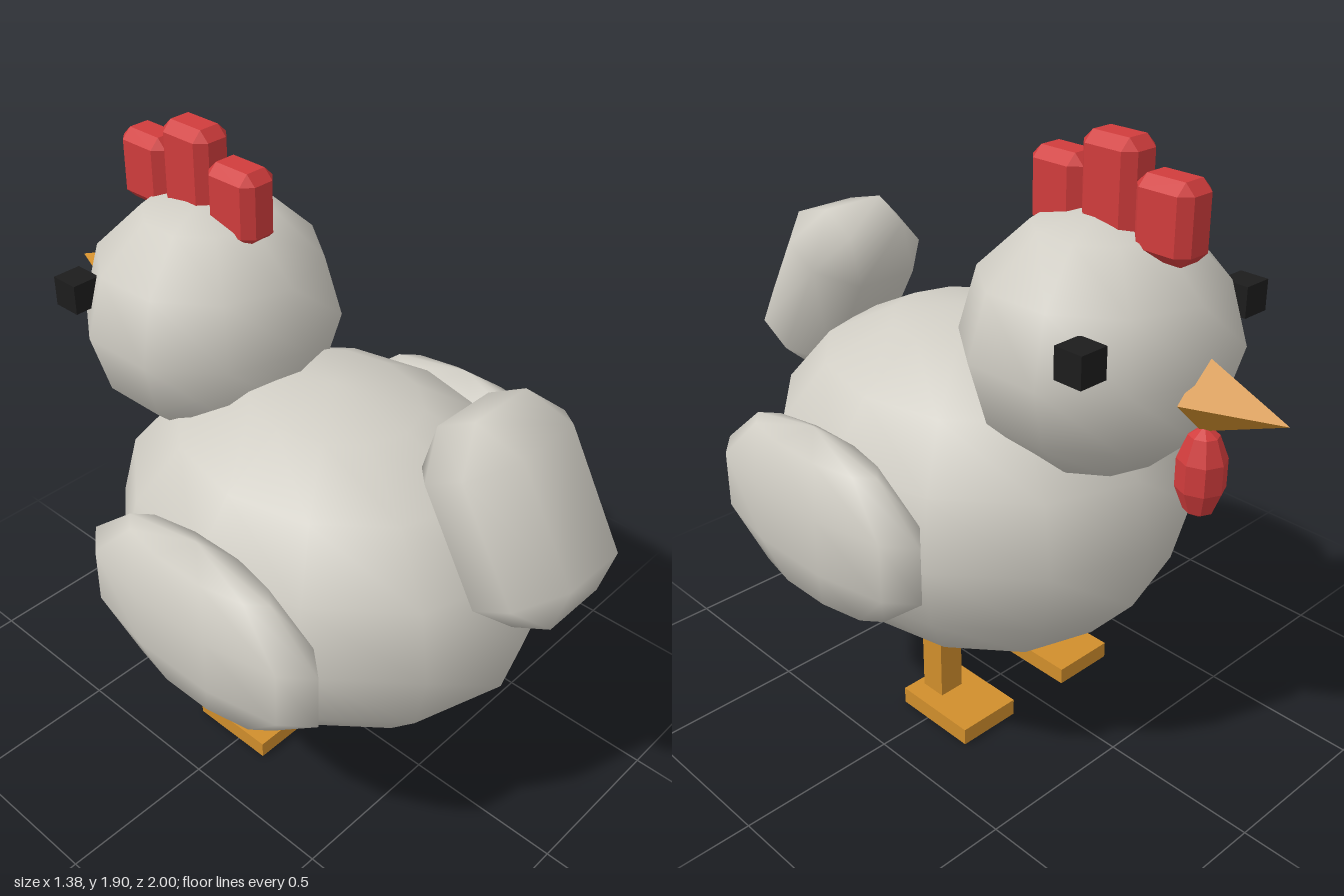
import * as THREE from 'three';
import { mergeVertices } from 'three/addons/utils/BufferGeometryUtils.js';
import { ConvexGeometry } from 'three/addons/geometries/ConvexGeometry.js';

const material = (name, color, flatShading = false) => {
  const m = new THREE.MeshStandardMaterial({ color, flatShading });
  m.name = name;
  return m;
};

// Box with cut edges and corners, given by half sizes and cut width
function chamferedBox(hx, hy, hz, cut, smooth) {
  const points = [];
  for (const x of [-1, 1]) for (const y of [-1, 1]) for (const z of [-1, 1]) {
    points.push(
      new THREE.Vector3(x * hx, y * (hy - cut), z * (hz - cut)),
      new THREE.Vector3(x * (hx - cut), y * hy, z * (hz - cut)),
      new THREE.Vector3(x * (hx - cut), y * (hy - cut), z * hz));
  }
  let g = new ConvexGeometry(points);
  if (smooth) {
    g.deleteAttribute('normal');
    g = mergeVertices(g, 1e-4);
    g.computeVertexNormals();
  }
  return g;
}

// Low-poly ellipsoid; turned so that a column of corners lies on the z axis
function ellipsoid(rx, ry, rz, around, rows) {
  return new THREE.SphereGeometry(1, around, rows).rotateY(Math.PI / 2).scale(rx, ry, rz);
}

export function createModel() {
  const model = new THREE.Group();
  model.name = 'hen';
  const feather = material('feather', 0xd0cdc4);
  const red = material('combRed', 0xd03c3c, true);
  const orange = material('beakOrange', 0xd08e2c, true);
  const black = material('eyeBlack', 0x1c1c1c, true);

  const add = (name, geometry, mat, x, y, z) => {
    const mesh = new THREE.Mesh(geometry, mat);
    mesh.name = name;
    mesh.position.set(x, y, z);
    model.add(mesh);
    return mesh;
  };

  // Body, head and tail
  add('body', ellipsoid(0.6, 0.535, 0.71, 12, 8), feather, 0, 0.755, 0.11);
  add('head', ellipsoid(0.392, 0.37, 0.385, 10, 6), feather, 0, 1.34, -0.385);
  add('tail', chamferedBox(0.215, 0.29, 0.175, 0.11, true), feather, 0, 1.188, 0.755)
    .rotation.x = -0.52;

  // Comb: three lobes along the crown
  add('combBack', chamferedBox(0.063, 0.107, 0.09, 0.03), red, 0, 1.725, -0.247);
  add('combMiddle', chamferedBox(0.063, 0.142, 0.09, 0.03), red, 0, 1.763, -0.425);
  add('combFront', chamferedBox(0.063, 0.107, 0.09, 0.03), red, 0, 1.725, -0.605);

  // Beak and wattle
  add('beak', new THREE.ConeGeometry(0.107, 0.26, 4).rotateX(-Math.PI / 2), orange, 0, 1.295, -0.87);
  add('wattle', ellipsoid(0.07, 0.135, 0.073, 8, 5), red, 0, 1.073, -0.75);

  // Paired parts
  for (const [side, s] of [['left', 1], ['right', -1]]) {
    add(side + 'Wing', ellipsoid(0.127, 0.285, 0.465, 10, 5), feather, s * 0.575, 0.793, 0.147);
    add(side + 'Eye', new THREE.BoxGeometry(0.09, 0.09, 0.09), black, s * 0.32, 1.437, -0.607);
    add(side + 'Leg', new THREE.BoxGeometry(0.085, 0.25, 0.085), orange, s * 0.217, 0.165, 0.042);
    add(side + 'Foot', new THREE.BoxGeometry(0.21, 0.055, 0.285), orange, s * 0.215, 0.0275, -0.032);
  }
  return model;
}
